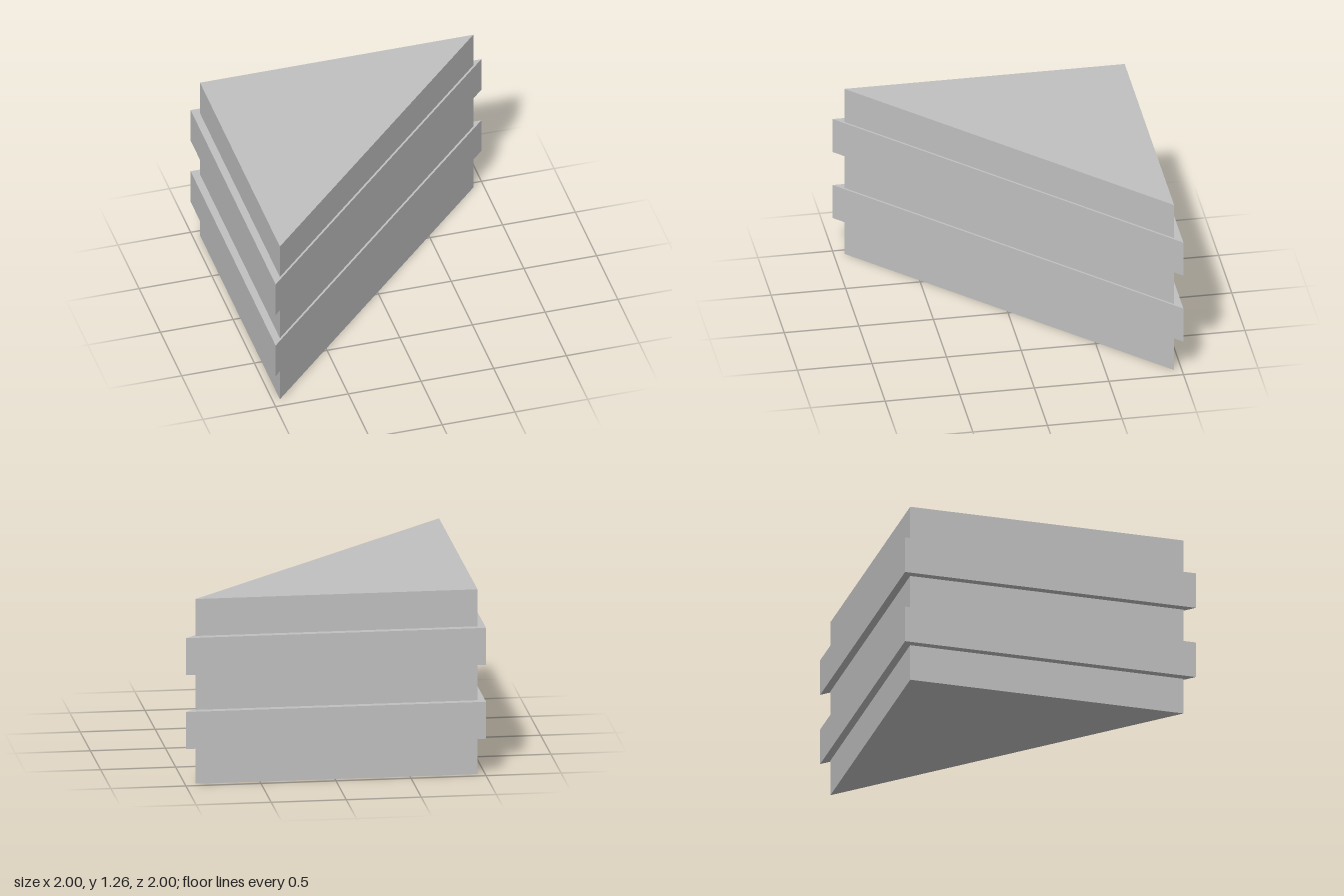
import * as THREE from 'three';

export function createModel() {
  const model = new THREE.Group();
  model.name = 'steppedWedge';
  const grey = new THREE.MeshStandardMaterial({ color: 0xc0c0c0 });
  grey.name = 'light grey';

  const layerHeight = 0.252;

  // Right-angled triangular slab: square corner at back right (-x, -z)
  function slab(name, corner, tip, level) {
    const shape = new THREE.Shape([
      new THREE.Vector2(corner, -corner),
      new THREE.Vector2(corner, -tip),
      new THREE.Vector2(tip, -corner),
    ]);
    const geometry = new THREE.ExtrudeGeometry(shape, { depth: layerHeight, bevelEnabled: false });
    geometry.rotateX(-Math.PI / 2);
    const mesh = new THREE.Mesh(geometry, grey);
    mesh.name = name;
    mesh.position.y = level * layerHeight;
    model.add(mesh);
  }

  // Five layers, alternating inset and projecting
  for (let i = 0; i < 5; i++) {
    if (i % 2) slab('projectingLayer' + i, -1, 1, i);
    else slab('insetLayer' + i, -0.95, 0.93, i);
  }
  return model;
}
